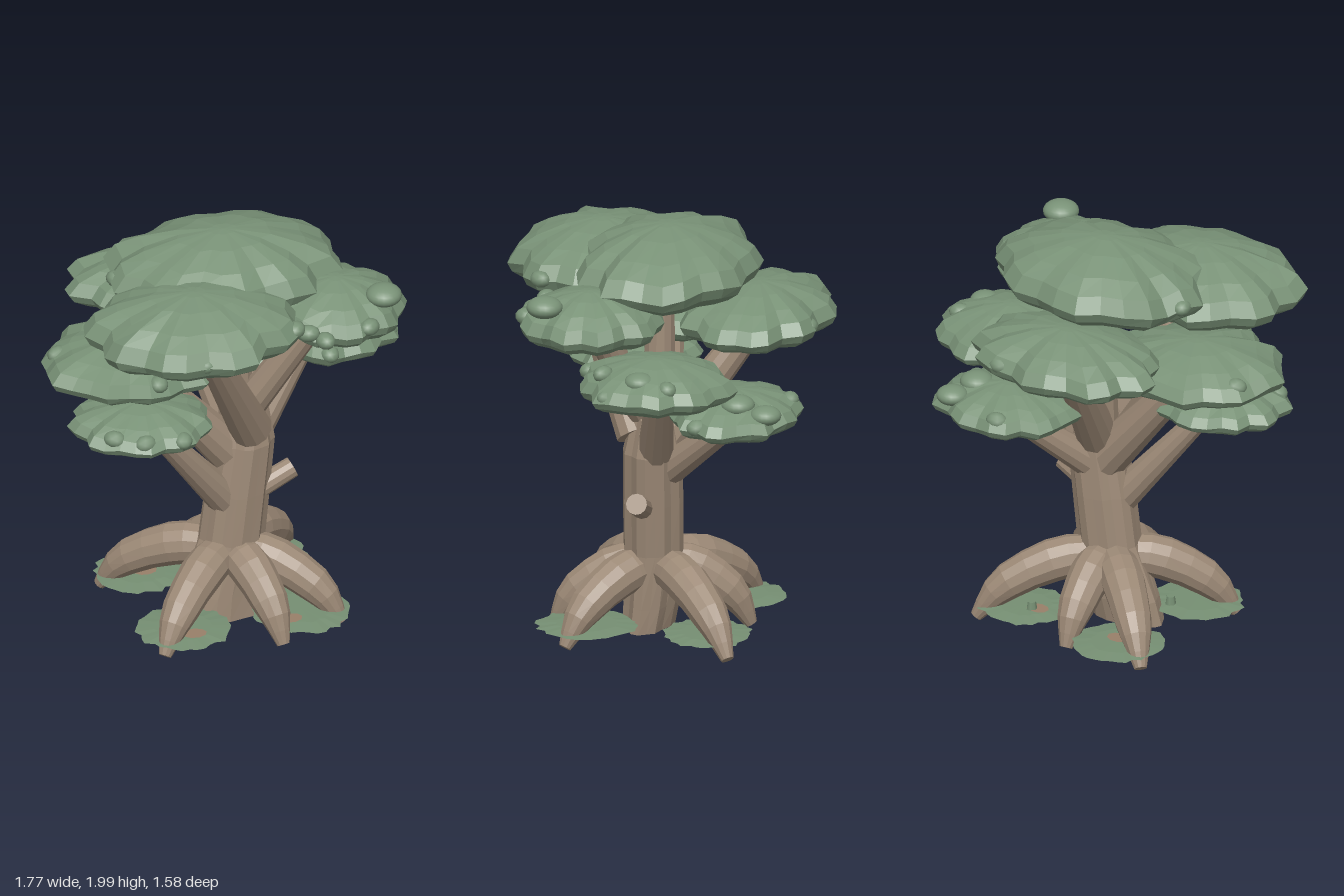
import * as THREE from 'three';

const mat = (name, color) => {
  const m = new THREE.MeshStandardMaterial({ color });
  m.name = name;
  return m;
};

// Skins a list of equal-length point rings, listed bottom to top
function loft(rings) {
  const n = rings[0].length, pos = [], idx = [];
  rings.forEach(r => r.forEach(p => pos.push(p.x, p.y, p.z)));
  for (let i = 0; i < rings.length - 1; i++) {
    for (let j = 0; j < n; j++) {
      const a = i * n + j, b = i * n + (j + 1) % n;
      idx.push(a, a + n, b, b, a + n, b + n);
    }
  }
  const g = new THREE.BufferGeometry();
  g.setAttribute('position', new THREE.Float32BufferAttribute(pos, 3));
  g.setIndex(idx);
  const faceted = g.toNonIndexed();
  faceted.computeVertexNormals();
  return faceted;
}

function seeded(seed) {
  let s = seed * 7919 + 17;
  return () => (s = (s * 16807) % 2147483647) / 2147483647;
}

// Tapered limb along a curve, closed at both ends
function limb(points, radii, sides = 12) {
  const curve = new THREE.CatmullRomCurve3(points.map(p => new THREE.Vector3(...p)));
  const steps = 8, { normals, binormals } = curve.computeFrenetFrames(steps);
  const ring = (i, scale) => {
    const t = i / steps, c = curve.getPoint(t), f = t * (radii.length - 1);
    const k = Math.min(Math.floor(f), radii.length - 2);
    const r = THREE.MathUtils.lerp(radii[k], radii[k + 1], f - k) * scale;
    return Array.from({ length: sides }, (_, j) => {
      const a = j / sides * Math.PI * 2;
      return c.clone().addScaledVector(normals[i], r * Math.cos(a))
        .addScaledVector(binormals[i], -r * Math.sin(a));
    });
  };
  const rings = [ring(0, 0)];
  for (let i = 0; i <= steps; i++) rings.push(ring(i, 1));
  rings.push(ring(steps, 0));
  return loft(rings);
}

// Scalloped foliage pad: [radius factor, height from -1 (bottom) to 1 (top)]
const padProfile = [[0, -1], [0.5, -0.93], [0.82, -0.75], [0.95, -0.5], [1, -0.22],
  [0.9, 0.22], [0.7, 0.55], [0.4, 0.85], [0.12, 0.98], [0, 1]];

function pad([cx, cz, rx, rz, y0, y1], seed) {
  const n = 27, rnd = seeded(seed), mid = (y0 + y1) / 2, half = (y1 - y0) / 2;
  // Nine lobes of uneven depth; valleys run up to the middle as creases
  const lobes = Array.from({ length: n }, (_, j) => [1.01, 0.99, 0.91][j % 3] + (rnd() - 0.5) * 0.09);
  const lift = Array.from({ length: n }, () => (rnd() - 0.5) * 0.25);
  return loft(padProfile.map(([r, h]) => lobes.map((s, j) => {
    const a = j / n * Math.PI * 2 + seed;
    return new THREE.Vector3(cx + rx * r * s * Math.cos(a),
      mid + half * (h + lift[j] * r * (1 - Math.abs(h))), cz + rz * r * s * Math.sin(a));
  })));
}

export function createModel() {
  const tree = new THREE.Group();
  tree.name = 'tree';
  const bark = mat('bark', 0x9c8976);
  const leaf = mat('leaf green', 0x799277);
  const grass = mat('grass green', 0x768f73);
  const soil = mat('soil brown', 0x988069);
  const add = (name, geo, material, parent = tree) => {
    const m = new THREE.Mesh(geo, material);
    m.name = name;
    parent.add(m);
    return m;
  };
  const group = name => {
    const g = new THREE.Group();
    g.name = name;
    tree.add(g);
    return g;
  };

  // Trunk with uneven bark ridges: [y, centre x, centre z, radius x, radius z]
  const trunk = [[0.02, -0.015, 0.075, 0, 0], [0.02, -0.015, 0.075, 0.225, 0.12],
    [0.14, -0.005, 0.06, 0.21, 0.13], [0.4, 0.045, 0.04, 0.155, 0.14],
    [0.65, 0.075, 0.035, 0.15, 0.142], [0.9, 0.11, 0.03, 0.14, 0.138],
    [1.08, 0.115, 0.025, 0.105, 0.1], [1.16, 0.1, 0.02, 0, 0]];
  const ridges = 20;
  add('trunk', loft(trunk.map(([y, cx, cz, rx, rz]) =>
    Array.from({ length: ridges }, (_, j) => {
      const a = j / ridges * Math.PI * 2, k = [1.03, 1.02, 0.92, 1.02, 0.97][j % 5];
      return new THREE.Vector3(cx + rx * k * Math.cos(a), y, cz + rz * k * Math.sin(a));
    }))), bark);

  // Arching roots, one per foot position [x, z]
  const roots = group('roots');
  [[0.48, 0.36], [0.15, 0.49], [-0.41, 0.42], [-0.48, -0.34], [-0.07, -0.4], [0.47, -0.42]]
    .forEach(([x, z]) => {
      const at = (t, y) => [0.03 + (x - 0.03) * t, y, 0.03 + (z - 0.03) * t];
      add('root', limb([at(0.06, 0.33), at(0.38, 0.31), at(0.8, 0.18), at(1, 0.025)],
        [0.09, 0.105, 0.085, 0.03]), bark, roots);
    });

  // Branches: start, end, start radius, end radius
  const branches = group('branches');
  [
    [[0.12, 0.98, 0.1], [-0.22, 1.66, 0.46], 0.1, 0.065],
    [[0.08, 1.02, 0.04], [0.42, 1.62, 0.24], 0.085, 0.06],
    [[0.17, 0.92, 0], [0.48, 1.36, -0.1], 0.085, 0.06],
    [[0.07, 0.8, 0.02], [-0.46, 1.42, 0.08], 0.11, 0.065],
    [[0.01, 0.6, 0.06], [-0.44, 1.18, 0.24], 0.085, 0.045],
    [[0.1, 0.8, -0.03], [0.29, 1.15, -0.42], 0.08, 0.055],
    [[0.08, 0.92, 0], [-0.1, 1.52, -0.42], 0.1, 0.07],
    [[0.08, 0.98, 0.01], [0.06, 1.75, 0], 0.09, 0.06],
    [[0.12, 0.61, 0.06], [0.34, 0.71, 0.05], 0.055, 0.05]
  ].forEach(([a, b, r0, r1], i, list) => {
    const mid = a.map((v, k) => (v + b[k]) / 2);
    add(i === list.length - 1 ? 'branchStub' : 'branch', limb([a, mid, b], [r0, r1]), bark, branches);
  });

  // Foliage pads: [x, z, radius x, radius z, bottom, top]
  const canopy = group('canopy');
  [
    [0.02, -0.02, 0.57, 0.44, 1.66, 2.0],
    [-0.25, 0.36, 0.51, 0.425, 1.59, 1.91],
    [0.49, 0.24, 0.335, 0.35, 1.54, 1.8],
    [0.535, -0.09, 0.36, 0.37, 1.28, 1.51],
    [-0.46, 0.08, 0.445, 0.39, 1.34, 1.58],
    [-0.47, 0.25, 0.34, 0.31, 1.12, 1.31],
    [0.28, -0.41, 0.37, 0.31, 1.1, 1.3],
    [-0.1, -0.43, 0.52, 0.355, 1.45, 1.71]
  ].forEach((p, i) => add('foliagePad', pad(p, i + 3), leaf, canopy));

  // Small leafy lumps around the pad rims: [x, y, z]
  const lump = new THREE.IcosahedronGeometry(1, 1);
  [
    [0.07, 1.56, -0.71], [0.37, 1.83, -0.2], [-0.49, 1.8, -0.06], [-0.31, 1.715, 0.72],
    [0.19, 1.73, 0.55], [0.41, 1.74, 0.2], [0.27, 1.67, 0.5], [0.56, 1.67, 0.53],
    [0.34, 1.64, 0.54], [0.66, 1.45, 0.13], [0.76, 1.43, -0.2], [0.46, 1.39, 0.24],
    [0.79, 1.38, 0.08], [-0.79, 1.47, -0.02], [-0.44, 1.48, 0.42], [-0.66, 1.23, 0.43],
    [-0.53, 1.22, 0.5], [-0.35, 1.21, 0.51], [0.57, 1.19, -0.3], [0.15, 1.22, -0.64]
  ].forEach(([x, y, z], i) => {
    const m = add('leafLump', lump, leaf, canopy);
    m.position.set(x, y, z);
    m.scale.set(0.055, 0.04, 0.045);
    m.rotation.y = i;
  });

  // Rounder leaf balls: [x, y, z, radius]
  const ball = new THREE.SphereGeometry(1, 20, 14);
  [[0.67, 1.76, 0.41, 0.085], [0.73, 1.45, -0.06, 0.07],
    [0.43, 1.27, -0.46, 0.08], [0.46, 1.24, -0.6, 0.075]].forEach(([x, y, z, r]) => {
    const m = add('leafBall', ball, leaf, canopy);
    m.position.set(x, y, z);
    m.scale.set(r, r * 0.6, r);
  });

  // Ragged, lens-shaped grass patches with soil undersides and bare spots: [x, z, radius, spot x, spot z]
  const ground = group('groundPatches');
  [[0.3, 0.3, 0.23, 0.22, 0.38], [0.29, -0.28, 0.21, 0.21, -0.28],
    [-0.28, 0.3, 0.215, -0.25, 0.38], [-0.3, -0.29, 0.21, -0.28, -0.27]].forEach(([x, z, size, sx, sz], i) => {
    const rnd = seeded(i + 90);
    const radii = Array.from({ length: 36 }, () => size * (1 + (rnd() - 0.5) * 0.16));
    const ring = (scale, y) => radii.map((r, j) => {
      const a = j / radii.length * Math.PI * 2;
      return new THREE.Vector3(x + r * scale * Math.cos(a), y, z + r * scale * Math.sin(a));
    });
    add('grassPatch', loft([ring(1, 0.085), ring(0.6, 0.094), ring(0, 0.095)]), grass, ground);
    add('soilUnderside', loft([ring(0, 0.075), ring(0.6, 0.076), ring(1, 0.085)]), soil, ground);
    const spot = add('bareSpot', new THREE.CircleGeometry(0.045, 9).rotateX(-Math.PI / 2), soil, ground);
    spot.position.set(sx, 0.097, sz);
    spot.scale.x = 1.3;
  });

  // Small tufts on the grass
  [[-0.22, 0.17], [0.23, -0.3]].forEach(([x, z]) => {
    const tuft = add('tuft', new THREE.CylinderGeometry(0.02, 0.026, 0.04, 7), grass, ground);
    tuft.position.set(x, 0.113, z);
  });

  return tree;
}
